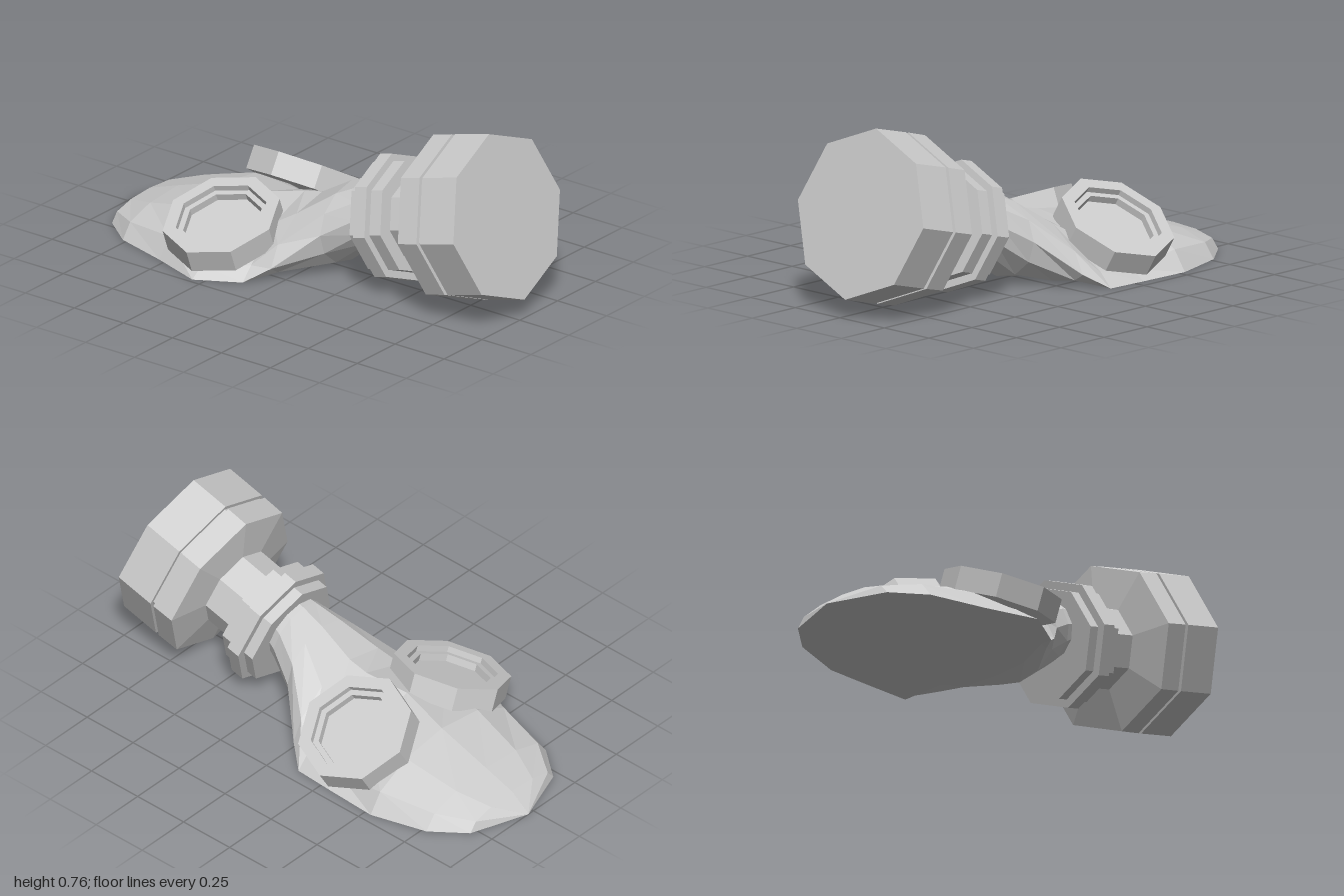
import * as THREE from 'three';

const material = new THREE.MeshStandardMaterial({ color: 0xcccccc, flatShading: true });

// Eight-sided turned part; profile runs [radius, height] from bottom to top
function turned(name, profile) {
  const points = profile.map(([r, h]) => new THREE.Vector2(r, h));
  const mesh = new THREE.Mesh(new THREE.LatheGeometry(points, 8), material);
  mesh.name = name;
  return mesh;
}

// Skin lofted through cross-sections from the collar back to the crown
function loft(name, rings, sides) {
  const pos = [], index = [];
  for (const { z, x = 0.03, w, top, mid = 0, bot = 0, p = 1, tilt = 0 } of rings) {
    for (let j = 0; j < sides; j++) {
      const t = (j / sides) * Math.PI * 2, s = Math.sin(t);
      const v = s > 0 ? (top - mid) * Math.pow(s, p) : (mid - bot) * s;
      pos.push(x + w * Math.cos(t), mid + v, z - tilt * v);
    }
  }
  for (let i = 0; i < rings.length - 1; i++) {
    for (let j = 0; j < sides; j++) {
      const a = i * sides + j, b = i * sides + (j + 1) % sides;
      index.push(a, a + sides, b, b, a + sides, b + sides);
    }
  }
  const geometry = new THREE.BufferGeometry();
  geometry.setAttribute('position', new THREE.Float32BufferAttribute(pos, 3));
  geometry.setIndex(index);
  geometry.computeVertexNormals();
  const mesh = new THREE.Mesh(geometry, material);
  mesh.name = name;
  return mesh;
}

export function createModel() {
  const group = new THREE.Group();
  group.name = 'gasMask';

  // Face piece with a flat underside
  group.add(loft('facePiece', [
    { z: 0.32, w: 0.13, top: 0.44, mid: 0.31, bot: 0.21, tilt: 0.265 },
    { z: 0.25, w: 0.15, top: 0.42, mid: 0.28, bot: 0.15, tilt: 0.2 },
    { z: 0.12, w: 0.21, top: 0.375, mid: 0.2, bot: 0.025 },
    { z: -0.03, w: 0.34, top: 0.285, mid: 0.06, p: 1.3 },
    { z: -0.12, w: 0.41, top: 0.265, p: 2.2 },
    { z: -0.3, x: -0.015, w: 0.465, top: 0.23, p: 2.5 },
    { z: -0.53, w: 0.43, top: 0.195, p: 1.2 },
    { z: -0.77, w: 0.36, top: 0.117, p: 0.9 },
    { z: -0.91, w: 0.25, top: 0.07, p: 0.8 },
    { z: -1, w: 0.001, top: 0.001 },
  ], 12));

  // Filter, neck and stepped collar share one tilted axis
  const canister = new THREE.Group();
  canister.name = 'canister';
  canister.position.set(0.03, 0.42, 0.91);
  canister.rotation.x = 1.312;
  canister.add(
    turned('filter', [
      [0, -0.325], [0.17, -0.325], [0.35, -0.295], [0.352, -0.195],
      [0.335, -0.195], [0.335, -0.179], [0.352, -0.179], [0.352, 0], [0, 0],
    ]),
    turned('neck', [[0.175, -0.5], [0.175, -0.31]]),
    turned('collar', [
      [0, -0.642], [0.235, -0.642], [0.235, -0.596], [0.27, -0.596], [0.27, -0.535],
      [0.238, -0.535], [0.238, -0.477], [0, -0.477],
    ]),
  );
  group.add(canister);

  // Stepped eye rings, leaning outward, each closed by a sunken lens
  for (const [name, x, y, lean] of [['leftEye', 0.305, 0.241, 0.54], ['rightEye', -0.286, 0.218, -0.365]]) {
    const eye = turned(name, [
      [0, -0.1], [0.245, -0.1], [0.245, 0], [0.19, 0], [0.19, -0.025],
      [0.165, -0.025], [0.165, -0.055], [0, -0.055],
    ]);
    eye.position.set(x, y, -0.303);
    eye.rotation.z = -lean;
    group.add(eye);
  }
  return group;
}
